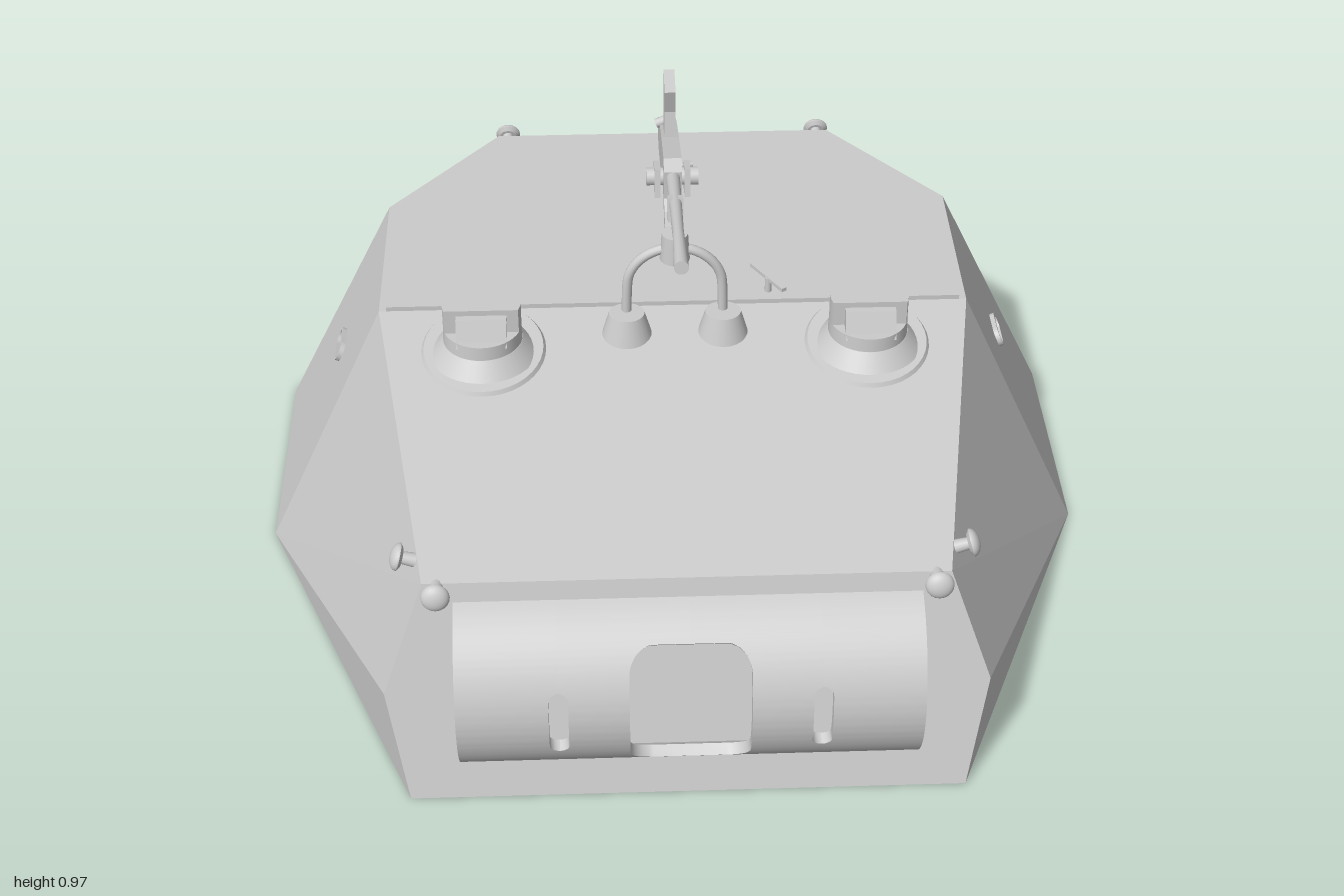
import * as THREE from 'three';
import { toCreasedNormals } from 'three/addons/utils/BufferGeometryUtils.js';
import { ConvexGeometry } from 'three/addons/geometries/ConvexGeometry.js';

const V = (x, y, z) => new THREE.Vector3(x, y, z);
const grey = new THREE.MeshStandardMaterial({ color: 0xcccccc });
const thin = new THREE.MeshStandardMaterial({ color: 0xcccccc, side: THREE.DoubleSide });

export function createModel() {
  const root = new THREE.Group();
  const add = (name, geo, parent = root, mat = grey) => {
    const m = new THREE.Mesh(geo, mat);
    m.name = name;
    parent.add(m);
    return m;
  };
  const group = (name, parent = root) => {
    const g = new THREE.Group();
    g.name = name;
    parent.add(g);
    return g;
  };
  const mirror = f => [-1, 1].forEach(f);
  // convex solid from corners given for the +x side
  const convex = (name, half, parent) =>
    add(name, new ConvexGeometry(half.flatMap(([x, y, z]) => [V(x, y, z), V(-x, y, z)])), parent);
  // round bar between two points
  const rod = (name, a, b, r0, r1 = r0, parent = root, sides = 16) => {
    const d = b.clone().sub(a);
    const m = add(name, new THREE.CylinderGeometry(r1, r0, d.length(), sides), parent);
    m.position.copy(a).addScaledVector(d, 0.5);
    m.quaternion.setFromUnitVectors(V(0, 1, 0), d.normalize());
    return m;
  };
  // side profile of [z, y] points, given a width across x
  const profile = (name, pts, width, x = 0, parent = root) => {
    const shape = new THREE.Shape(pts.map(p => new THREE.Vector2(...p)));
    const geo = new THREE.ExtrudeGeometry(shape, { depth: width, bevelEnabled: false });
    geo.translate(0, 0, -width / 2).rotateY(-Math.PI / 2).translate(x, 0, 0);
    return add(name, geo, parent);
  };
  const box = (name, w, h, d, x, y, z, rx = 0, parent = root) => {
    const m = add(name, new THREE.BoxGeometry(w, h, d), parent);
    m.position.set(x, y, z);
    m.rotation.x = rx;
    return m;
  };

  // armoured shell and rear bustle
  convex('hull', [
    [0.53, 0, 0.93], [0.57, 0.22, 0.87], [0.49, 0.44, 0.81], [0.86, 0, 0.16], [0.60, 0.565, 0.13],
    [0.60, 0.565, -0.25], [0.86, 0, -0.34], [0.55, 0, -0.725], [0.37, 0.565, -0.53]]);
  convex('rearBustle', [
    [0.545, 0.006, -0.735], [0.335, 0.006, -1], [0.445, 0.28, -0.638], [0.31, 0.195, -0.955],
    [0.4, 0.006, -0.6], [0.4, 0.28, -0.6]]);

  // roof plate with clipped rear corners
  const plate = new THREE.Shape([[-0.585, -0.13], [0.585, -0.13], [0.585, 0.24], [0.55, 0.27], [-0.55, 0.27], [-0.585, 0.24]]
    .map(p => new THREE.Vector2(...p)));
  add('roofPlate', new THREE.ExtrudeGeometry(plate, { depth: 0.012, bevelEnabled: false })
    .rotateX(-Math.PI / 2).translate(0, 0.563, 0));

  // curved front shield: strips of shell between the edges of its openings
  const cy = 0.25, cz = 0.8, R = 0.2;
  const slotHalf = (y, c, H, w, r) => {
    const d = Math.abs(y - c);
    if (d > H) return 0;
    const e = Math.max(0, d - H + r);
    return w - r + Math.sqrt(Math.max(0, r * r - e * e));
  };
  const hole = y => slotHalf(y, 0.2575, 0.1375, 0.112, 0.045);
  const slit = y => slotHalf(y, 0.252, 0.073, 0.018, 0.018);
  const angles = Array.from({ length: 66 }, (_, i) => -1.016 + i * 0.035);
  [0.12, 0.395, 0.179, 0.325].forEach(y => mirror(s => angles.push(Math.asin((y - cy) / R) + s * 2e-4)));
  angles.sort((a, b) => a - b);
  const strip = (x0, x1) => {
    const pos = [];
    const rings = angles.map(a => {
      const y = cy + R * Math.sin(a);
      return [[x0(y), R], [x1(y), R], [x1(y), R - 0.022], [x0(y), R - 0.022]]
        .map(([x, r]) => [x, cy + r * Math.sin(a), cz + r * Math.cos(a)]);
    });
    for (let i = 0; i + 1 < rings.length; i++) for (let k = 0; k < 4; k++) {
      const [a, b] = [rings[i][k], rings[i][(k + 1) % 4]];
      const [c, d] = [rings[i + 1][(k + 1) % 4], rings[i + 1][k]];
      pos.push(...a, ...b, ...c, ...a, ...c, ...d);
    }
    const geo = new THREE.BufferGeometry();
    geo.setAttribute('position', new THREE.Float32BufferAttribute(pos, 3));
    geo.computeVertexNormals();
    return toCreasedNormals(geo, 0.6);
  };
  const shield = group('frontShield');
  [[y => -0.43, y => -0.242 - slit(y)], [y => -0.242 + slit(y), y => -hole(y)],
    [y => hole(y), y => 0.242 - slit(y)], [y => 0.242 + slit(y), y => 0.43]]
    .forEach(([a, b]) => add('shieldStrip', strip(a, b), shield, thin));
  const rim = angles.map(a => [cz + 0.199 * Math.cos(a), cy + 0.199 * Math.sin(a)]);
  mirror(s => profile('shieldEnd', [[cz, cy], ...rim], 0.02, s * 0.42, shield));

  // mushroom-headed lifting studs
  const stud = (p, dir) => {
    const g = group('liftingStud');
    const up = new THREE.SphereGeometry(0.027, 20, 8, 0, Math.PI * 2, 0, Math.PI / 2).scale(1, 0.6, 1);
    add('studHead', up, g, thin).position.y = 0.026;
    add('studNeck', new THREE.CylinderGeometry(0.011, 0.015, 0.05, 14), g).position.y = 0.005;
    add('studUnderside', new THREE.CylinderGeometry(0.027, 0.018, 0.006, 20), g).position.y = 0.023;
    g.position.copy(p);
    g.quaternion.setFromUnitVectors(V(0, 1, 0), dir.normalize());
  };
  mirror(s => {
    stud(V(s * 0.463, 0.432, 0.82), V(0, 0.25, 1));
    stud(V(s * 0.51, 0.44, 0.742), V(s, 0.3, 0));
    stud(V(s * 0.35, 0.54, -0.54), V(0, 0.3, -1));
  });

  // rounded vision ports on the side walls
  const pill = (w, r, Type) => {
    const p = new Type();
    p.absarc(w, 0, r, -Math.PI / 2, Math.PI / 2);
    p.absarc(-w, 0, r, Math.PI / 2, Math.PI * 1.5);
    p.closePath();
    return p;
  };
  const port = pill(0.022, 0.023, THREE.Shape);
  port.holes.push(pill(0.022, 0.016, THREE.Path));
  mirror(s => {
    const m = add('visionPort', new THREE.ExtrudeGeometry(port, { depth: 0.012, bevelEnabled: false }));
    m.position.set(s * 0.703, 0.335, -0.065);
    m.lookAt(s * 0.703 + s * 0.57, 0.335 + 0.26, -0.065);
  });

  // periscope housings on the sloping roof
  mirror(s => {
    const g = group('periscope');
    g.position.set(s * 0.385, 0.545, 0.24);
    const flange = add('periscopeFlange', new THREE.CylinderGeometry(0.12, 0.13, 0.016, 40), g);
    flange.rotation.x = 0.182;
    add('periscopeNeck', new THREE.CylinderGeometry(0.08, 0.108, 0.035, 40), g).position.y = 0.015;
    add('periscopeDrum', new THREE.CylinderGeometry(0.078, 0.08, 0.045, 40), g).position.y = 0.04;
    // hood is a disc with its front cut off square
    const hood = new THREE.Shape();
    hood.absarc(0, 0, 0.078, -0.35, Math.PI + 0.35);
    const hoodGeo = new THREE.ExtrudeGeometry(hood, { depth: 0.06, bevelEnabled: false, curveSegments: 32 });
    add('periscopeHood', hoodGeo.rotateX(-Math.PI / 2), g).position.y = 0.056;
    profile('periscopeGlass', [[0.02, 0.05], [0.064, 0.05], [0.042, 0.104], [0.02, 0.104]], 0.1, 0, g);
  });

  // rear visor, small port and engine-side hatch
  profile('rearVisorHood', [[-0.53, 0.5], [-0.622, 0.495], [-0.647, 0.43], [-0.575, 0.41]], 0.6);
  box('rearPort', 0.07, 0.035, 0.02, 0, 0.355, -0.603, -0.34);
  convex('rearHatch', [[0.44, 0.272, -0.657], [0.44, 0.288, -0.657], [0.305, 0.197, -0.94], [0.305, 0.213, -0.94]]);
  [-0.31, 0, 0.31].forEach(x => {
    const m = box('hatchHinge', 0.06, 0.014, 0.02, x, 0.291, -0.655, 0);
    m.rotation.x = -0.26;
  });
  mirror(s => {
    const g = group('hatchLatch');
    profile('latchTongue', [[-0.875, 0.232], [-0.88, 0.245], [-0.94, 0.215], [-0.94, 0.2]], 0.035, s * 0.18, g);
    rod('latchLever', V(s * 0.18, 0.255, -0.885), V(s * 0.18, 0.215, -0.94), 0.004, 0.004, g, 8);
    const ring = add('latchRing', new THREE.TorusGeometry(0.014, 0.005, 8, 18), g);
    ring.position.set(s * 0.18, 0.17, -0.965);
    ring.rotation.y = Math.PI / 2;
  });

  // roof lever
  rod('leverPost', V(0.195, 0.565, 0.1), V(0.195, 0.608, 0.1), 0.007);
  const blade = box('leverBlade', 0.012, 0.008, 0.11, 0.195, 0.606, 0.095);
  blade.rotation.y = 0.56;

  // arched pintle mount
  const mount = group('gunMount');
  mirror(s => {
    const foot = add('mountFoot', new THREE.CylinderGeometry(0.036, 0.054, 0.062, 24), mount);
    foot.position.set(s * 0.097, 0.569, 0.2);
    foot.scale.z = 0.9;
    box('cradleCheek', 0.012, 0.06, 0.05, s * 0.03, 0.82, 0.05, -0.19, mount);
  });
  const arch = [V(-0.097, 0.59, 0.19), V(-0.095, 0.66, 0.19)];
  for (let i = 1; i < 12; i++) {
    const a = Math.PI * (1 - i / 12);
    arch.push(V(0.095 * Math.cos(a), 0.66 + 0.09 * Math.sin(a), 0.19));
  }
  arch.push(V(0.095, 0.66, 0.19), V(0.097, 0.59, 0.19));
  add('mountArch', new THREE.TubeGeometry(new THREE.CatmullRomCurve3(arch), 60, 0.01, 12), mount);
  rod('pivotSocket', V(0, 0.725, 0.19), V(0, 0.785, 0.19), 0.03, 0.026, mount, 24);
  profile('cradleArm', [[0.2, 0.745], [0.2, 0.78], [0.12, 0.788], [0.07, 0.835], [0.03, 0.835], [0.045, 0.79], [0.11, 0.75]], 0.036, 0, mount);
  rod('trunnionPin', V(-0.052, 0.827, 0.05), V(0.052, 0.827, 0.05), 0.018, 0.018, mount);

  // machine gun, pitched slightly upward
  const gun = group('machineGun');
  rod('barrel', V(0, 0.85, 0.08), V(0, 0.912, 0.41), 0.014, 0.01, gun);
  rod('muzzle', V(0, 0.905, 0.37), V(0, 0.923, 0.505), 0.011, 0.014, gun);
  rod('gasTube', V(0, 0.81, 0.08), V(0, 0.866, 0.36), 0.011, 0.008, gun);
  box('barrelBand', 0.03, 0.05, 0.018, 0, 0.862, 0.22, -0.19, gun);
  profile('receiver', [[0.1, 0.868], [0.07, 0.882], [-0.06, 0.85], [-0.19, 0.808], [-0.26, 0.775], [-0.265, 0.715],
    [-0.22, 0.712], [-0.13, 0.735], [-0.05, 0.755], [0.02, 0.788], [0.1, 0.8]], 0.036, 0, gun);
  profile('magazine', [[-0.065, 0.84], [-0.075, 0.9], [-0.058, 0.956], [-0.122, 0.972], [-0.143, 0.9], [-0.147, 0.82]], 0.022, 0, gun);
  profile('pistolGrip', [[-0.182, 0.73], [-0.184, 0.632], [-0.222, 0.625], [-0.226, 0.73]], 0.02, 0, gun);
  const guard = add('triggerGuard', new THREE.TorusGeometry(0.02, 0.004, 8, 20), gun);
  guard.position.set(0, 0.718, -0.162);
  guard.rotation.y = Math.PI / 2;
  rod('cockingHandle', V(0, 0.79, -0.04), V(0.045, 0.79, -0.05), 0.006, 0.006, gun, 10);
  rod('rearSight', V(-0.025, 0.815, -0.17), V(0, 0.825, -0.17), 0.01, 0.01, gun, 12);
  return root;
}
